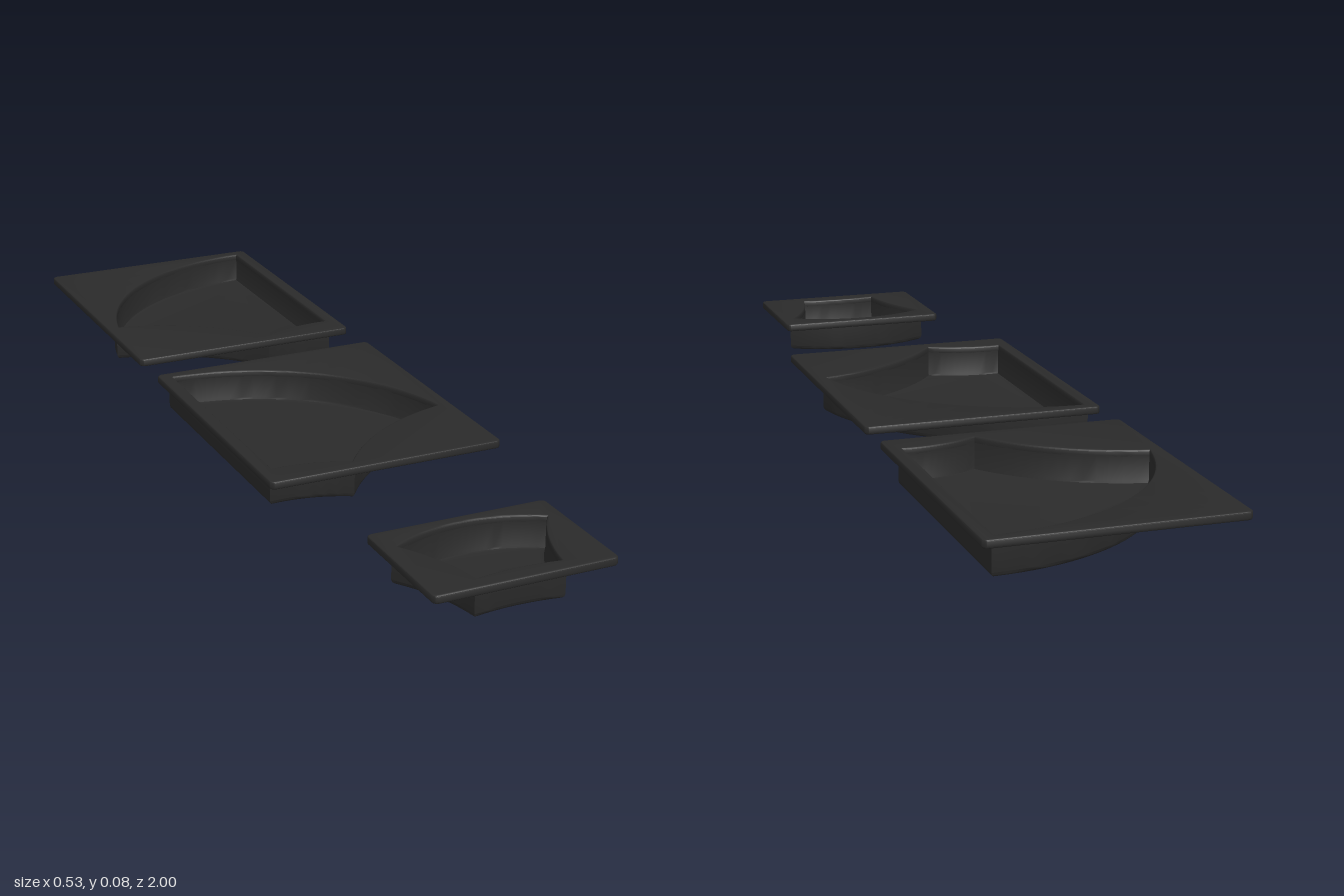
import * as THREE from 'three';
import { toCreasedNormals } from 'three/addons/utils/BufferGeometryUtils.js';

const charcoal = new THREE.MeshStandardMaterial({ color: 0x2a2a2a });
charcoal.name = 'charcoal';

// Counter-clockwise outline from corners [x, y, bulge of the side that follows].
function makeOutline(corners) {
  const points = [];
  corners.forEach(([x, y, bulge], i) => {
    const a = new THREE.Vector2(x, y);
    const next = corners[(i + 1) % corners.length];
    const b = new THREE.Vector2(next[0], next[1]);
    points.push(a);
    if (!bulge) return;
    const half = a.distanceTo(b) / 2, s = Math.abs(bulge);
    const r = (half * half + s * s) / (2 * s), sweep = Math.asin(half / r);
    const dir = b.clone().sub(a).normalize();
    const out = new THREE.Vector2(dir.y, -dir.x);
    const mid = a.clone().add(b).multiplyScalar(0.5);
    const steps = Math.max(8, Math.ceil(sweep * 36));
    for (let k = 1; k < steps; k++) {
      const t = sweep * (2 * k / steps - 1);
      const rise = Math.sign(bulge) * (r * Math.cos(t) - (r - s));
      points.push(mid.clone().addScaledVector(dir, r * Math.sin(t)).addScaledVector(out, rise));
    }
  });
  return points;
}

// Outline moved outwards by d with mitred corners.
function offset(points, d) {
  const n = points.length;
  const normal = (p, q) => new THREE.Vector2(q.y - p.y, p.x - q.x).normalize();
  return points.map((p, i) => {
    const n1 = normal(points[(i + n - 1) % n], p), n2 = normal(p, points[(i + 1) % n]);
    return p.clone().addScaledVector(n1.clone().add(n2), d / (1 + n1.dot(n2)));
  });
}

// Wall and flat base following a profile of [offset, height], from top to bottom.
function makeShell(outline, profile, inward) {
  const n = outline.length, positions = [], index = [];
  const tri = (a, b, c, flip) => index.push(...(flip ? [a, c, b] : [a, b, c]));
  profile.forEach(([d, h], level) => {
    offset(outline, d).forEach((p) => positions.push(p.x, p.y, h));
    if (!level) return;
    for (let j = 0; j < n; j++) {
      const k = (j + 1) % n, a = (level - 1) * n, b = level * n;
      tri(a + j, b + j, b + k, inward);
      tri(a + j, b + k, a + k, inward);
    }
  });
  const base = (profile.length - 1) * n;
  const loop = offset(outline, profile[profile.length - 1][0]);
  THREE.ShapeUtils.triangulateShape(loop, []).forEach(([a, b, c]) => tri(base + a, base + b, base + c, !inward));
  const geometry = new THREE.BufferGeometry();
  geometry.setAttribute('position', new THREE.Float32BufferAttribute(positions, 3));
  geometry.setIndex(index);
  return geometry;
}

// Rectangular flange with rounded corners and a softened opening.
function makeRim(outline, width, depth) {
  const w = width / 2, h = depth / 2, r = 0.012, bevel = 0.004;
  const shape = new THREE.Shape();
  [[w - r, h - r, 0], [r - w, h - r, 1], [r - w, r - h, 2], [w - r, r - h, 3]].forEach(([x, y, q]) =>
    shape.absarc(x, y, r, q * Math.PI / 2, (q + 1) * Math.PI / 2, false));
  shape.closePath();
  shape.holes.push(new THREE.Path(outline.slice().reverse()));
  const geometry = new THREE.ExtrudeGeometry(shape, {
    depth: 0.018 - 2 * bevel, bevelEnabled: true, bevelSize: bevel, bevelThickness: bevel,
    bevelOffset: -bevel, bevelSegments: 3, curveSegments: 5,
  });
  return geometry.translate(0, 0, 0.063 + bevel);
}

function makeTray(name, outline, width, depth, z) {
  const tray = new THREE.Group();
  tray.name = name;
  tray.position.z = z;
  const add = (part, geometry) => {
    const flat = geometry.index ? geometry.toNonIndexed() : geometry;
    flat.rotateX(-Math.PI / 2);
    const mesh = new THREE.Mesh(toCreasedNormals(flat, 0.55), charcoal);
    mesh.name = part;
    tray.add(mesh);
  };
  add('rim', makeRim(outline, width, depth));
  add('outerShell', makeShell(outline,
    [[0.007, 0.067], [0.007, 0.01], [0.0057, 0.005], [0.002, 0.0013], [-0.003, 0]], false));
  add('innerBasin', makeShell(outline,
    [[0, 0.07], [0, 0.015], [-0.0015, 0.0105], [-0.006, 0.009]], true));
  return tray;
}

export function createModel() {
  const model = new THREE.Group();
  model.name = 'traySet';

  // Large trays share one outline, mirrored left to right
  const large = makeOutline([
    [-0.237, -0.096, -0.035], [0.07, -0.297, -0.012], [0.237, -0.262, 0], [0.237, 0.302, 0.11],
  ]);
  const mirrored = large.map((p) => new THREE.Vector2(-p.x, p.y)).reverse();
  model.add(makeTray('backTray', large, 0.534, 0.658, -0.671));
  model.add(makeTray('middleTray', mirrored, 0.534, 0.658, 0.09));

  // Small fan-shaped tray
  const small = makeOutline([
    [-0.092, -0.107, -0.008], [0.092, -0.107, -0.012], [0.165, 0.073, 0.045], [-0.165, 0.073, -0.012],
  ]);
  model.add(makeTray('frontTray', small, 0.396, 0.286, 0.857));
  return model;
}
